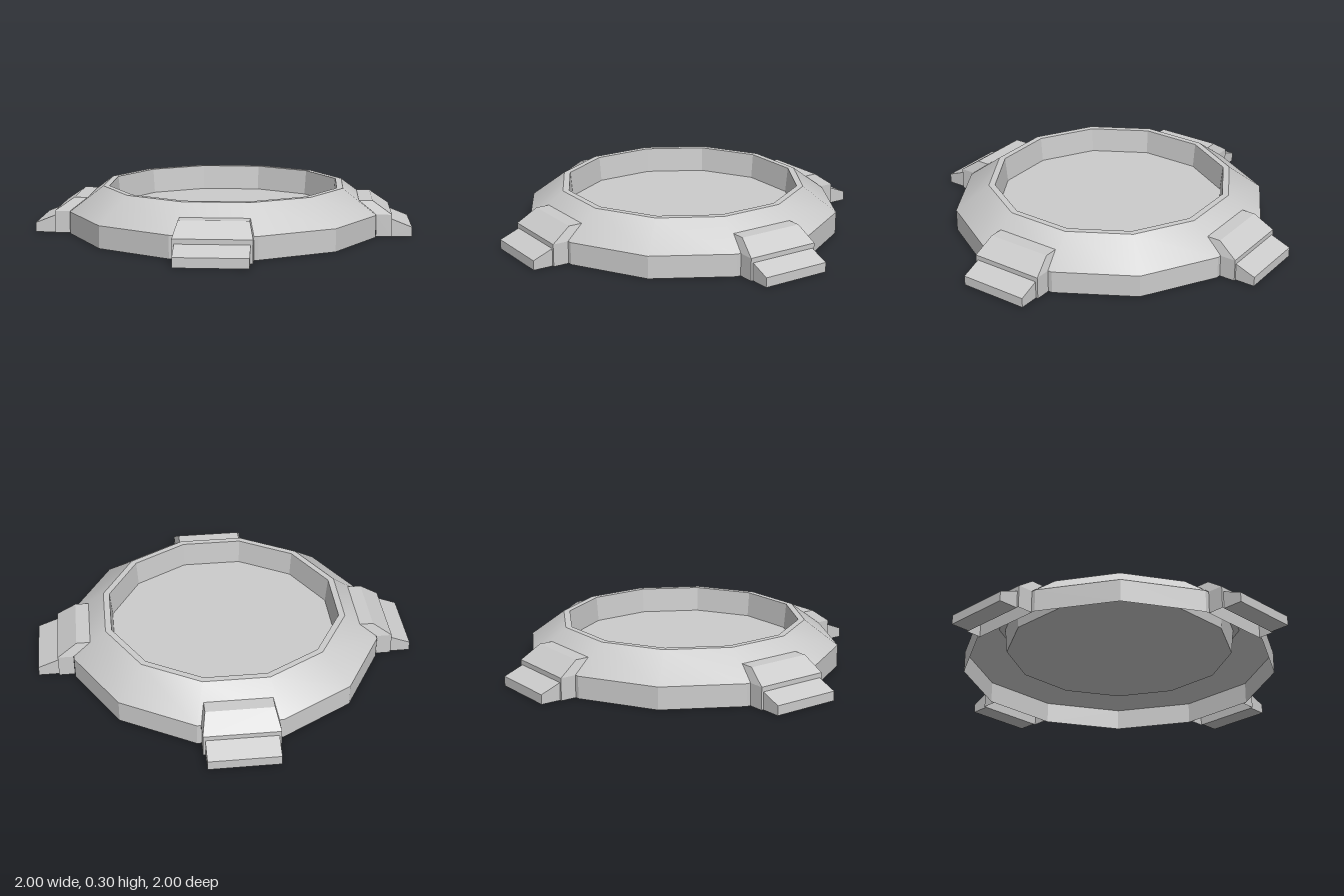
import * as THREE from 'three';
import { toCreasedNormals } from 'three/addons/utils/BufferGeometryUtils.js';

const material = new THREE.MeshStandardMaterial({ color: 0xcccccc, side: THREE.DoubleSide });
const SIDES = 12;

function addMesh(parent, name, geometry) {
  const mesh = new THREE.Mesh(geometry, material);
  mesh.name = name;
  parent.add(mesh);
  return mesh;
}

// Panel part from a side profile of [distance outward, height, half width].
// The first `span` points are joined across the width; `sides` lists the
// profile quads that close both ends.
function panelPart(profile, span, sides) {
  const positions = [];
  const corner = (i, s) => [s * profile[i][2], profile[i][1], profile[i][0]];
  const quad = (a, b, c, d) => positions.push(...a, ...b, ...c, ...a, ...c, ...d);
  for (let i = 0; i < span - 1; i++) {
    quad(corner(i, -1), corner(i, 1), corner(i + 1, 1), corner(i + 1, -1));
  }
  for (const side of sides) {
    quad(...side.map((i) => corner(i, -1)));
    quad(...[...side].reverse().map((i) => corner(i, 1)));
  }
  const geometry = new THREE.BufferGeometry();
  geometry.setAttribute('position', new THREE.Float32BufferAttribute(positions, 3));
  geometry.computeVertexNormals();
  return geometry;
}

export function createModel() {
  const model = new THREE.Group();
  model.name = 'basin';

  // Hollow shell: skirt, sloping shoulder, rim and inner wall
  const profile = [[1, 0], [1, 0.14], [0.785, 0.3], [0.745, 0.3], [0.73, 0.14]]
    .map(([r, y]) => new THREE.Vector2(r, y));
  addMesh(model, 'shell', toCreasedNormals(new THREE.LatheGeometry(profile, SIDES), 0.5));

  // Recessed floor
  const floor = new THREE.CircleGeometry(0.73, SIDES);
  floor.rotateX(-Math.PI / 2);
  floor.translate(0, 0.14, 0);
  addMesh(model, 'floor', floor);

  // Bracket bent over the shoulder, open underneath and towards the shell
  const bracket = panelPart([
    [1.068, 0, 0.233], [1.068, 0.14, 0.233], [0.945, 0.225, 0.208],
    [0.859, 0.225, 0.208], [0.968, 0.14, 0.233], [0.968, 0, 0.233],
  ], 4, [[0, 1, 4, 5], [1, 2, 3, 4]]);

  // Foot with a sloping top, set against the bracket
  const foot = panelPart([
    [1.068, 0, 0.219], [1.195, 0, 0.219], [1.195, 0.06, 0.219], [1.068, 0.11, 0.219],
  ], 4, [[0, 1, 2, 3]]);

  // Four supports on the diagonals
  ['frontLeft', 'backLeft', 'backRight', 'frontRight'].forEach((place, i) => {
    const support = new THREE.Group();
    support.name = place + 'Support';
    support.rotation.y = Math.PI / 4 + i * Math.PI / 2;
    addMesh(support, 'bracket', bracket);
    addMesh(support, 'foot', foot);
    model.add(support);
  });

  return model;
}
